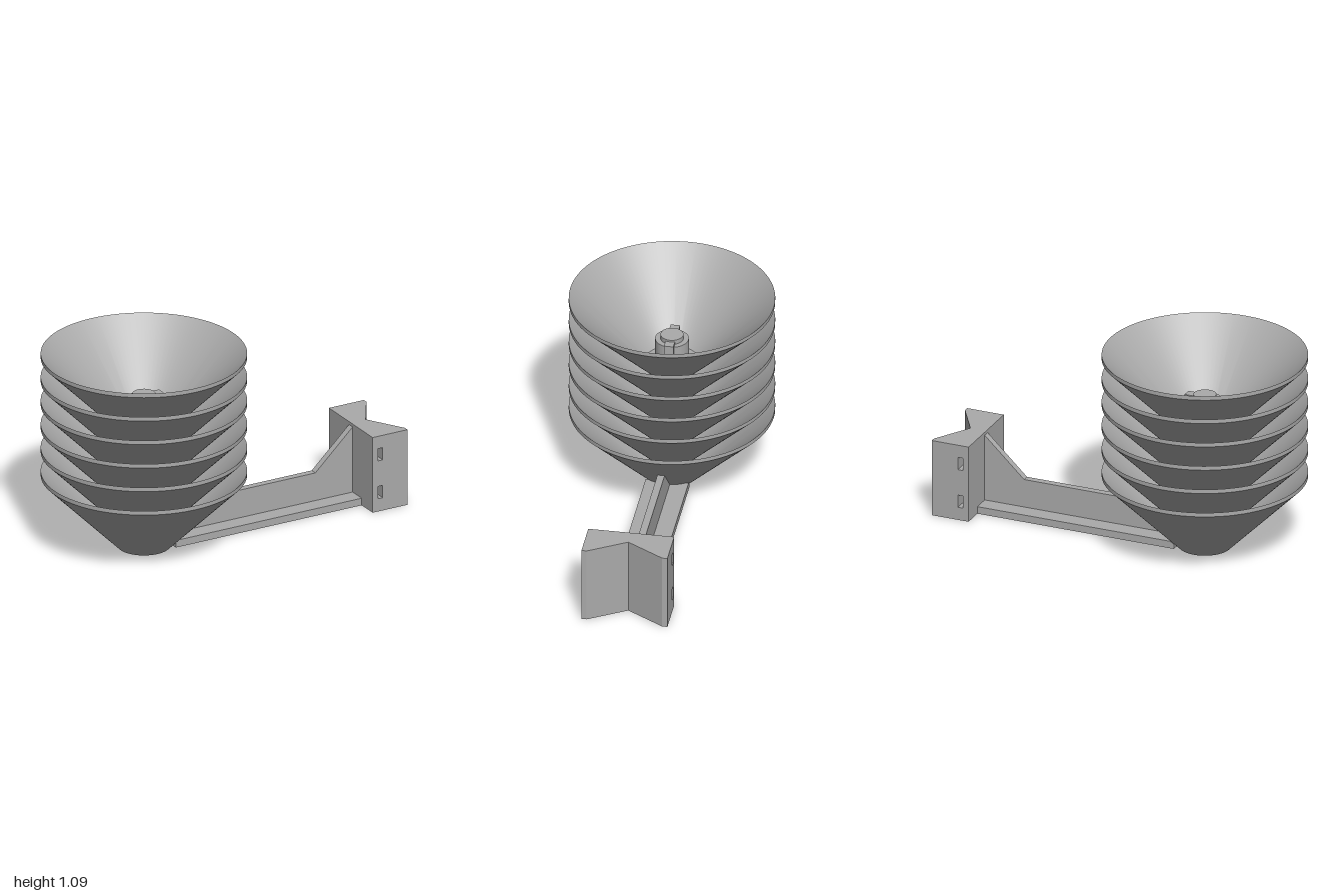
import * as THREE from 'three';
import { toCreasedNormals } from 'three/addons/utils/BufferGeometryUtils.js';

const gray = new THREE.MeshStandardMaterial({ color: 0xaaaaaa });
gray.name = 'gray plastic';

const CX = -0.46;      // axis of the funnel stack
const STEP = 0.1335;   // spacing of the stacked funnels

function add(parent, name, geometry, x = 0, y = 0, z = 0) {
  const mesh = new THREE.Mesh(geometry, gray);
  mesh.name = name;
  mesh.position.set(x, y, z);
  parent.add(mesh);
  return mesh;
}

const shapeOf = (pts) => new THREE.Shape(pts.map(([x, y]) => new THREE.Vector2(x, y)));

// Extrude an x/y outline, centred on z = 0
function plate(pts, depth) {
  const g = new THREE.ExtrudeGeometry(shapeOf(pts), { depth, bevelEnabled: false });
  return g.translate(0, 0, -depth / 2);
}

// Extrude an x/z outline upwards from y0 to y1
function column(pts, y0, y1) {
  const g = new THREE.ExtrudeGeometry(shapeOf(pts), { depth: y1 - y0, bevelEnabled: false });
  return g.rotateX(-Math.PI / 2).translate(0, y0, 0);
}

export function createModel() {
  const model = new THREE.Group();
  model.name = 'funnelStackOnArm';

  // Thin-walled funnel with a recessed floor and a central post
  const profile = [
    [0, 0], [0.14, 0], [0.54, 0.4], [0.54, 0.423], [0.145, 0.028],
    [0.115, 0.028], [0.115, 0.006], [0.088, 0.006], [0.088, 0.17], [0, 0.17],
  ].map(([r, y]) => new THREE.Vector2(r, y));
  const funnelGeo = toCreasedNormals(new THREE.LatheGeometry(profile, 96), 0.5);
  const lugGeo = new THREE.BoxGeometry(0.21, 0.06, 0.05);
  const capGeo = toCreasedNormals(new THREE.CylinderGeometry(0.06, 0.06, 0.03, 32), 0.5);

  for (let i = 0; i < 6; i++) {
    const unit = new THREE.Group();
    unit.name = 'funnelUnit' + (i + 1);
    unit.position.set(CX, i * STEP, 0);
    add(unit, 'funnel', funnelGeo);
    // Locking lugs are exposed only on the top unit
    if (i === 5) {
      add(unit, 'lockingLugs', lugGeo, 0, 0.155, 0);
      add(unit, 'postCap', capGeo, 0, 0.18, 0);
    }
    model.add(unit);
  }

  // Arm: wide base flange and upright web with a gusset
  const arm = new THREE.Group();
  arm.name = 'arm';
  add(arm, 'baseFlange', plate(
    [[-0.333, 0], [0.8, 0], [0.8, 0.04], [-0.31, 0.04], [-0.333, 0.027]], 0.228));
  add(arm, 'web', plate(
    [[-0.34, 0.01], [0.8, 0.01], [0.8, 0.415], [0.79, 0.41], [0.565, 0.197], [-0.14, 0.197]], 0.038));
  model.add(arm);

  // Mounting bracket: V-notched block with two strap slots running through z
  const bracket = new THREE.Group();
  bracket.name = 'mountingBracket';
  const W = 0.228;
  const outline = (x) => [[x, -W], [1, -W], [1, -0.2], [0.88, 0], [1, 0.2], [1, W], [x, W]];
  const strip = [[0.79, -W], [0.822, -W], [0.822, W], [0.79, W]];
  const levels = [0, 0.072, 0.142, 0.287, 0.357, 0.427];
  for (let i = 0; i < 5; i++) {
    const [y0, y1] = [levels[i], levels[i + 1]];
    if (i % 2 === 0) {
      add(bracket, 'solidBlock', column(outline(0.79), y0, y1));
    } else {
      add(bracket, 'slotInnerWall', column(strip, y0, y1));
      add(bracket, 'slotOuterWall', column(outline(0.851), y0, y1));
    }
  }
  model.add(bracket);

  return model;
}
